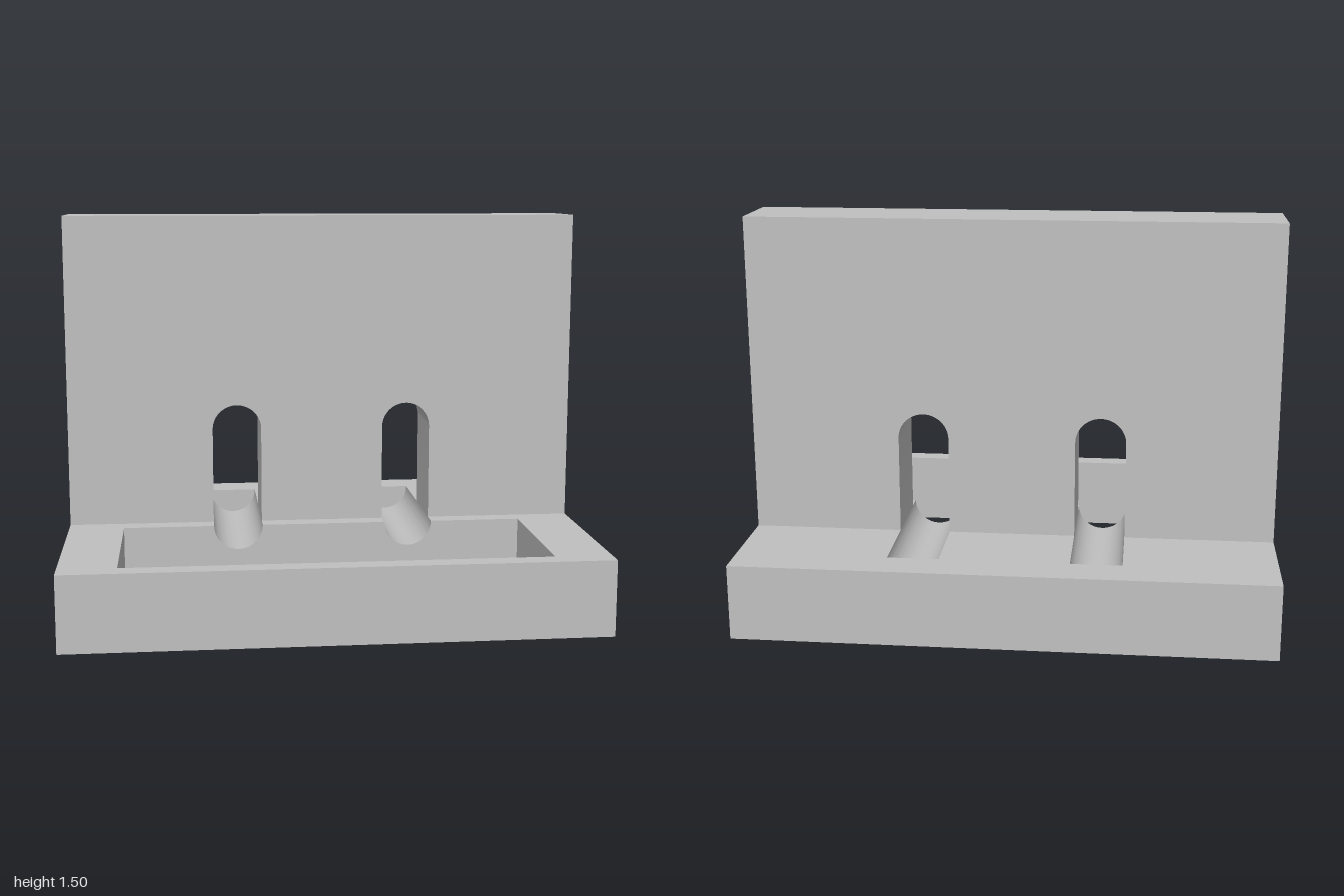
import * as THREE from 'three';
import { toCreasedNormals } from 'three/addons/utils/BufferGeometryUtils.js';

const HALF_W = 1;          // half the width in x
const BASE_H = 0.286;      // thickness of the base
const BACK = -0.714, FRONT = 0.714;
const WALL_BACK = -0.286, WALL_FRONT = 0, WALL_TOP = 1.5;
const SLOT_X = 0.338, SLOT_R = 0.096, ARCH_Y = 0.66;
const GROOVE_BACK = -0.575;
const POCKET_X = 0.787, POCKET_BACK = 0.07, POCKET_FRONT = 0.643;

// Extrude a front-facing outline between two depths, smooth only on the curves
function extrudeZ(shape, z0, z1) {
  const geo = new THREE.ExtrudeGeometry(shape, { depth: z1 - z0, bevelEnabled: false, curveSegments: 24 });
  geo.translate(0, 0, z0);
  return toCreasedNormals(geo, 0.5);
}

// Upright plate with two round-topped slots open at the bottom
function wallShape() {
  const s = new THREE.Shape();
  s.moveTo(HALF_W, BASE_H);
  s.lineTo(HALF_W, WALL_TOP);
  s.lineTo(-HALF_W, WALL_TOP);
  s.lineTo(-HALF_W, BASE_H);
  for (const x of [-SLOT_X, SLOT_X]) {
    s.lineTo(x - SLOT_R, BASE_H);
    s.lineTo(x - SLOT_R, ARCH_Y);
    s.absarc(x, ARCH_Y, SLOT_R, Math.PI, 0, true);
    s.lineTo(x + SLOT_R, BASE_H);
  }
  s.closePath();
  return s;
}

// Base section with two half-round channels cut in its top
function groovedShape() {
  const s = new THREE.Shape();
  s.moveTo(-HALF_W, 0);
  s.lineTo(HALF_W, 0);
  s.lineTo(HALF_W, BASE_H);
  for (const x of [SLOT_X, -SLOT_X]) {
    s.lineTo(x + SLOT_R, BASE_H);
    s.absarc(x, BASE_H, SLOT_R, 0, -Math.PI, true);
  }
  s.lineTo(-HALF_W, BASE_H);
  s.closePath();
  return s;
}

// U-shaped plan around the open pocket, drawn with y = -z
function frameGeometry() {
  const s = new THREE.Shape([
    [-HALF_W, -FRONT], [HALF_W, -FRONT], [HALF_W, -POCKET_BACK], [POCKET_X, -POCKET_BACK],
    [POCKET_X, -POCKET_FRONT], [-POCKET_X, -POCKET_FRONT], [-POCKET_X, -POCKET_BACK], [-HALF_W, -POCKET_BACK],
  ].map(([x, y]) => new THREE.Vector2(x, y)));
  const geo = new THREE.ExtrudeGeometry(s, { depth: BASE_H, bevelEnabled: false });
  return geo.rotateX(-Math.PI / 2);
}

export function createModel() {
  const model = new THREE.Group();
  model.name = 'slottedBracket';
  const grey = new THREE.MeshStandardMaterial({ color: 0xc0c0c0 });
  grey.name = 'light grey';

  const add = (name, geometry) => {
    const mesh = new THREE.Mesh(geometry, grey);
    mesh.name = name;
    model.add(mesh);
  };

  add('uprightWall', extrudeZ(wallShape(), WALL_BACK, WALL_FRONT));
  add('groovedBase', extrudeZ(groovedShape(), GROOVE_BACK, POCKET_BACK));
  add('pocketFrame', frameGeometry());

  // Solid rear strip that closes the channels
  const depth = GROOVE_BACK - BACK;
  add('rearStrip', new THREE.BoxGeometry(2 * HALF_W, BASE_H, depth)
    .translate(0, BASE_H / 2, BACK + depth / 2));

  return model;
}
